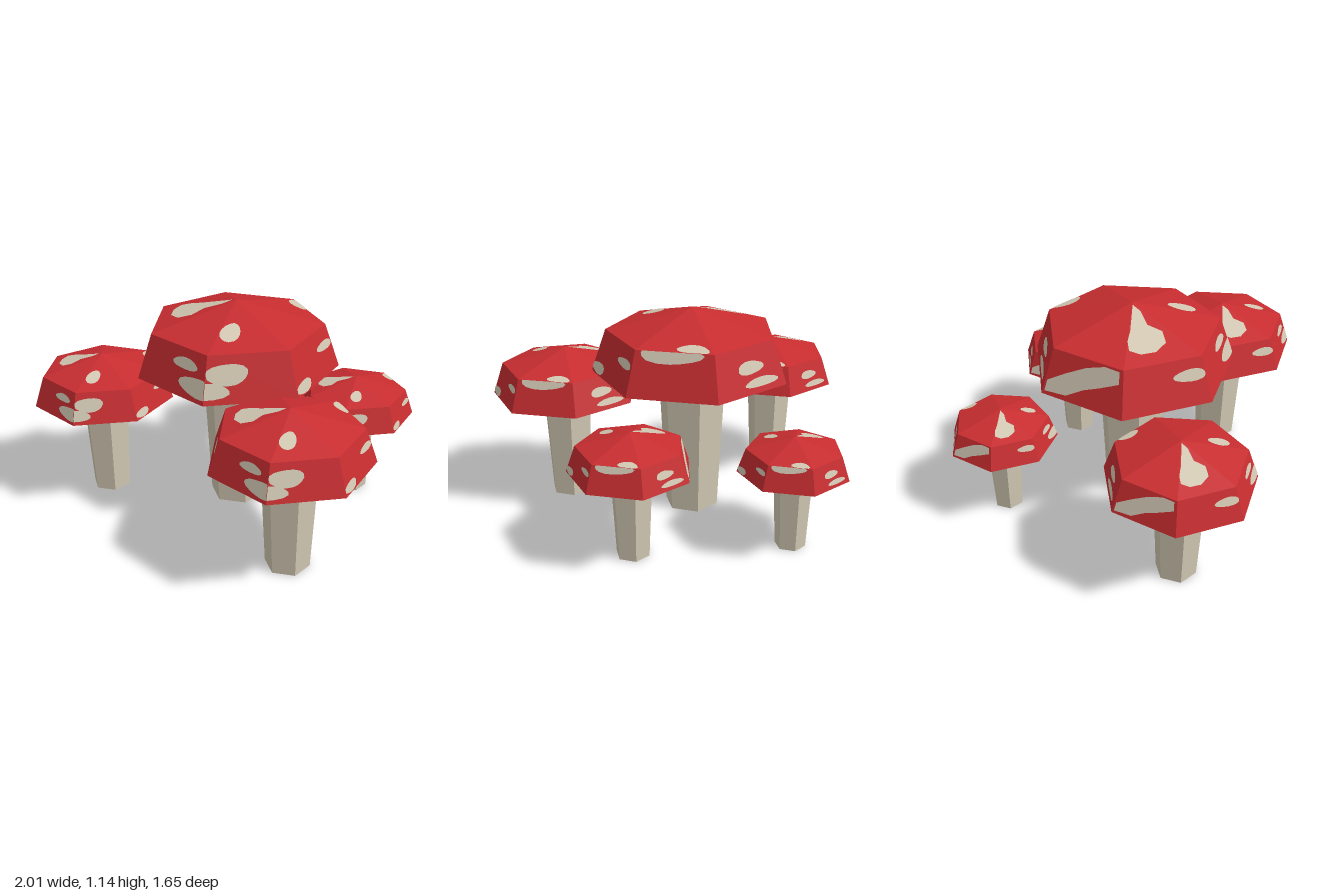
import * as THREE from 'three';
import { mergeGeometries } from 'three/addons/utils/BufferGeometryUtils.js';

const SIDES = 7, RIM = 0.537, SHOULDER = 0.457;
const RIM_Y = 0.79, SHOULDER_Y = 1.02, TOP_Y = 1.14;

const capRed = new THREE.MeshStandardMaterial({ color: 0xc82d30 });
capRed.name = 'capRed';
const cream = new THREE.MeshStandardMaterial({ color: 0xd3c9b4 });
cream.name = 'cream';

// Split shared corners so every facet is flat
function faceted(geometry) {
  const g = geometry.toNonIndexed();
  g.computeVertexNormals();
  return g;
}

// Corner k of a cap ring; corner 0 points to the back
function corner(k, r, y) {
  const a = (k * 2 * Math.PI) / SIDES;
  return new THREE.Vector3(r * Math.sin(a), y, -r * Math.cos(a));
}

// Slightly uneven oval outline in facet coordinates, trimmed at the facet edges
function blob(s, t, rs, rt) {
  const points = [];
  for (let i = 0; i < 16; i++) {
    const a = (i / 16) * Math.PI * 2;
    const w = 1 + 0.07 * Math.sin(3 * a + s * 9);
    points.push([
      THREE.MathUtils.clamp(s + rs * w * Math.cos(a), 0, 1),
      THREE.MathUtils.clamp(t + rt * w * Math.sin(a), 0, 1),
    ]);
  }
  return points;
}

// Spots on the sloping side facets: [facet, outline], s along the rim, t upward
const sideSpots = [
  [0, blob(0.55, 0.95, 0.4, 0.2)],
  [1, blob(0.84, 0.16, 0.17, 0.13)],
  [1, blob(0.2, 0.62, 0.19, 0.1)],
  [2, blob(0.76, 0.6, 0.25, 0.22)],
  [2, blob(1, 0.27, 0.28, 0.17)],
  [3, blob(0.325, 0.69, 0.2, 0.12)],
  [3, blob(0.1, 0.3, 0.28, 0.2)],
  [4, blob(0.19, 0.65, 0.2, 0.13)],
  [5, [[0.97, 0.08], [0.97, 0.32], [0.75, 0.58], [0.5, 0.82], [0.25, 0.96], [0.05, 0.95],
    [0.05, 0.7], [0.3, 0.5], [0.5, 0.35], [0.7, 0.12]]],
  [6, blob(0.48, 0.56, 0.2, 0.14)],
  [6, blob(0.35, 0.22, 0.25, 0.1)],
];

// Spots on the top facets
const topSpots = [
  [0, blob(0.26, 0.07, 0.22, 0.09)],
  [2, blob(0.77, 0.38, 0.21, 0.17)],
  [4, [[0.95, 0.26], [1, 0.4], [0.96, 0.55], [0.9, 0.95], [0.28, 0.83], [0.41, 0.6],
    [0.17, 0.46], [0.29, 0.28], [0.53, 0.17], [0.76, 0.175]]],
];

// Thin painted face lying just above one facet of the cap
function spotGeometry(facet, outline, r0, y0, r1, y1) {
  const a = corner(facet, r0, y0), b = corner(facet + 1, r0, y0);
  const c = corner(facet, r1, y1), d = corner(facet + 1, r1, y1);
  const along = b.clone().sub(a);
  const up = c.clone().add(d).sub(a).sub(b);
  const normal = up.cross(along).normalize();
  const flat = outline.map(([s, t]) => new THREE.Vector2(s, t));
  const points = flat.map(({ x: s, y: t }) =>
    a.clone().lerp(b, s).lerp(c.clone().lerp(d, s), t).addScaledVector(normal, 0.003));
  const corners = [];
  for (const tri of THREE.ShapeUtils.triangulateShape(flat, [])) {
    let [p, q, r] = tri.map((i) => points[i]);
    const facing = q.clone().sub(p).cross(r.clone().sub(p)).dot(normal);
    if (facing < 0) [q, r] = [r, q];
    corners.push(p, q, r);
  }
  const g = new THREE.BufferGeometry().setFromPoints(corners);
  g.computeVertexNormals();
  return g;
}

// Wavy gill bands across the underside
function gillGeometry() {
  const bands = [];
  for (let i = 0; i < 7; i++) {
    const offset = -0.39 + i * 0.13;
    const half = Math.sqrt(0.455 ** 2 - offset ** 2);
    const lower = [], upper = [];
    for (let j = 0; j <= 24; j++) {
      const x = half * (j / 12 - 1);
      const y = offset + 0.022 * Math.sin(x * 24 + i * 2.1) + 0.012 * Math.sin(x * 51 + i);
      lower.push(new THREE.Vector2(x, y - 0.018));
      upper.unshift(new THREE.Vector2(x, y + 0.018));
    }
    bands.push(new THREE.ShapeGeometry(new THREE.Shape([...lower, ...upper])));
  }
  return mergeGeometries(bands).rotateX(Math.PI / 2).rotateY(-Math.PI / 4)
    .translate(0, RIM_Y - 0.003, 0);
}

export function createModel() {
  const model = new THREE.Group();
  model.name = 'mushroomCluster';

  // Six-sided stem, wider toward the cap
  const stem = faceted(new THREE.CylinderGeometry(0.188, 0.15, RIM_Y, 6).translate(0, RIM_Y / 2, 0));

  // Seven-sided closed cap
  const profile = [[0, RIM_Y], [RIM, RIM_Y], [SHOULDER, SHOULDER_Y], [0, TOP_Y]]
    .map(([r, y]) => new THREE.Vector2(r, y));
  const cap = faceted(new THREE.LatheGeometry(profile, SIDES, Math.PI));

  const spots = mergeGeometries([
    ...sideSpots.map(([f, o]) => spotGeometry(f, o, RIM, RIM_Y, SHOULDER, SHOULDER_Y)),
    ...topSpots.map(([f, o]) => spotGeometry(f, o, SHOULDER, SHOULDER_Y, 0, TOP_Y)),
  ]);
  const gills = gillGeometry();

  // One large mushroom and four smaller copies: name, x, z, scale
  const mushrooms = [
    ['centreMushroom', -0.04, 0.057, 1],
    ['frontRightMushroom', -0.635, 0.485, 0.703],
    ['frontLeftMushroom', 0.605, 0.383, 0.76],
    ['backRightMushroom', -0.42, -0.535, 0.535],
    ['backLeftMushroom', 0.39, -0.43, 0.592],
  ];
  for (const [name, x, z, scale] of mushrooms) {
    const mushroom = new THREE.Group();
    mushroom.name = name;
    for (const [part, geometry, material] of [
      ['stem', stem, cream], ['cap', cap, capRed], ['spots', spots, cream], ['gills', gills, cream],
    ]) {
      const mesh = new THREE.Mesh(geometry, material);
      mesh.name = part;
      mushroom.add(mesh);
    }
    mushroom.position.set(x, 0, z);
    mushroom.scale.setScalar(scale);
    model.add(mushroom);
  }
  return model;
}
